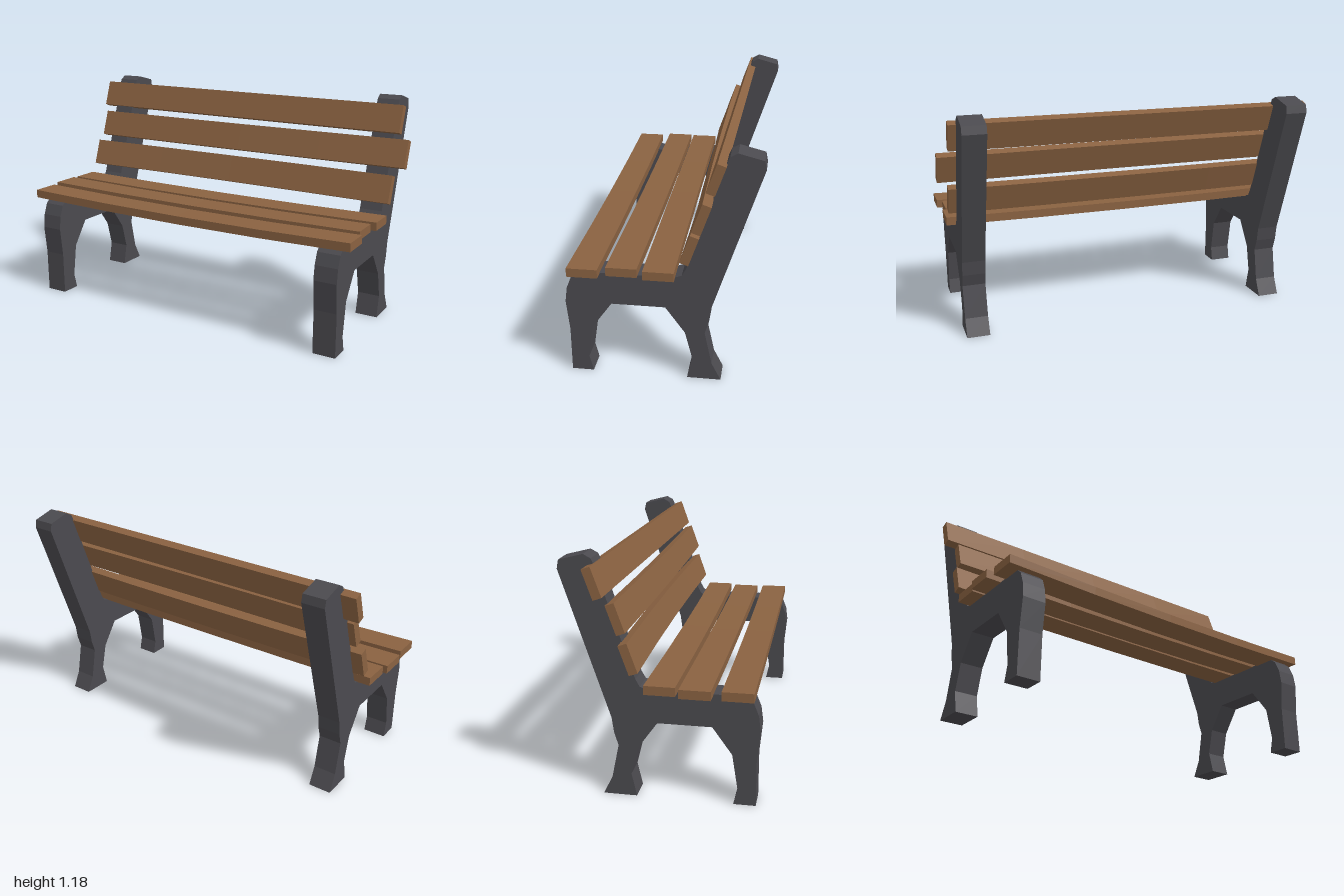
import * as THREE from 'three';

const metal = new THREE.MeshStandardMaterial({ color: 0x4b4a4f, flatShading: true });
const wood = new THREE.MeshStandardMaterial({ color: 0x8a6241, flatShading: true });

// Side outline of an end frame as [z, y]
const outline = [
  [0.455, 0], [0.455, 0.23], [0.47, 0.385], [0.46, 0.46], [0.436, 0.52], [0.4, 0.552],
  [-0.06, 0.552], [-0.095, 0.565], [-0.115, 0.6], [-0.297, 1.14], [-0.308, 1.163],
  [-0.343, 1.182], [-0.46, 1.152], [-0.468, 1.11], [-0.235, 0.4], [-0.225, 0.325],
  [-0.205, 0.26], [-0.24, 0.09], [-0.285, 0], [-0.12, 0], [-0.145, 0.115],
  [-0.11, 0.255], [-0.015, 0.388], [0.245, 0.388], [0.34, 0.255], [0.367, 0.08], [0.348, 0],
];

function makeFrame(name, x) {
  const shape = new THREE.Shape(outline.map(([z, y]) => new THREE.Vector2(-z, y)));
  const geo = new THREE.ExtrudeGeometry(shape, { depth: 0.12, bevelEnabled: false });
  geo.translate(0, 0, -0.06).rotateY(Math.PI / 2);
  const mesh = new THREE.Mesh(geo, metal);
  mesh.name = name;
  mesh.position.x = x;
  return mesh;
}

// A plank with a slight bow in the middle and a skew of its right-hand (-x) end
function makeSlat({ name, x0, x1, y, z, tilt = 0, width = 0.148, bowY = 0, bowZ = 0, skewY = 0, skewZ = 0 }) {
  const geo = new THREE.BoxGeometry(x1 - x0, 0.044, width, 4, 1, 1);
  geo.rotateX(tilt);
  const p = geo.attributes.position;
  for (let i = 0; i < p.count; i++) {
    const u = (2 * p.getX(i)) / (x1 - x0);
    const bow = 1 - u * u;
    const skew = (1 - u) / 2;
    p.setY(i, p.getY(i) + bow * bowY + skew * skewY);
    p.setZ(i, p.getZ(i) + bow * bowZ + skew * skewZ);
  }
  geo.computeVertexNormals();
  const mesh = new THREE.Mesh(geo, wood);
  mesh.name = name;
  mesh.position.set((x0 + x1) / 2, y, z);
  return mesh;
}

export function createModel() {
  const bench = new THREE.Group();
  bench.name = 'bench';

  // End frames
  bench.add(makeFrame('leftFrame', 0.845), makeFrame('rightFrame', -0.86));

  // Seat planks, front to rear
  const seat = [
    { name: 'frontSeatSlat', x0: -0.985, x1: 0.955, y: 0.57, z: 0.37, bowY: -0.014 },
    { name: 'middleSeatSlat', x0: -1, x1: 0.93, y: 0.573, z: 0.188, bowY: -0.01, skewZ: -0.012 },
    { name: 'rearSeatSlat', x0: -0.985, x1: 0.95, y: 0.575, z: 0.01, bowY: -0.008, bowZ: 0.004 },
  ];

  // Backrest planks, bottom to top, leaning back
  const tilt = Math.PI / 2 - 0.34;
  const back = [
    { name: 'lowerBackSlat', x0: -0.98, x1: 0.945, y: 0.715, z: -0.134, tilt, bowZ: -0.012 },
    { name: 'middleBackSlat', x0: -0.955, x1: 1, y: 0.898, z: -0.195, tilt, bowZ: 0.008, skewY: -0.004 },
    { name: 'upperBackSlat', x0: -1, x1: 0.945, y: 1.067, z: -0.252, tilt, skewZ: -0.033 },
  ];
  for (const s of [...seat, ...back]) bench.add(makeSlat(s));
  return bench;
}
